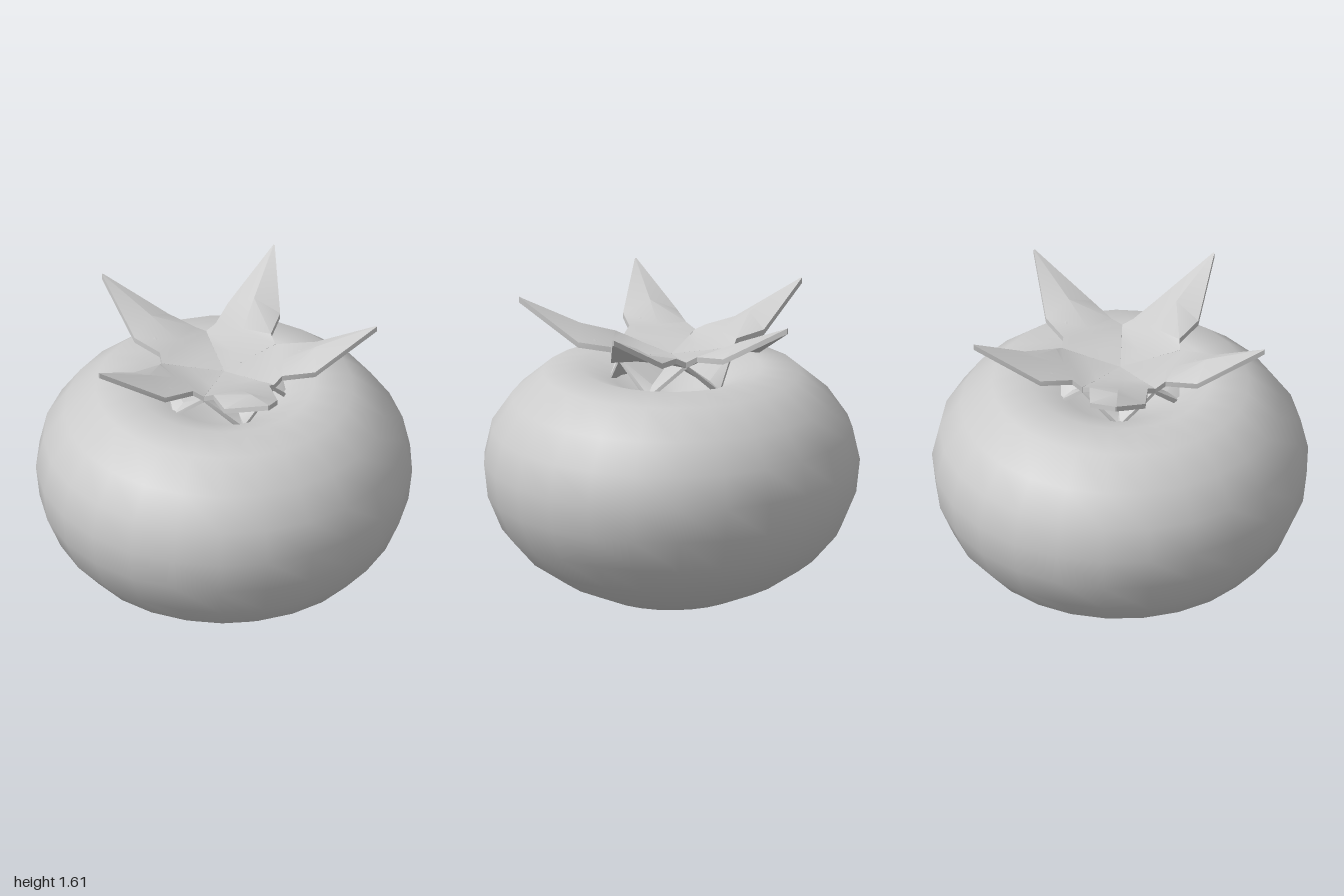
import * as THREE from 'three';
import { toCreasedNormals } from 'three/addons/utils/BufferGeometryUtils.js';

const material = new THREE.MeshStandardMaterial({ color: 0xcccccc });
const leafMaterial = new THREE.MeshStandardMaterial({ color: 0xcccccc, side: THREE.DoubleSide });

// Thin folded leaf along +x; each section is [distance, half width, middle height, edge height].
function leafGeometry(sections, thickness) {
  const positions = [];
  const index = [];
  const n = 6;
  for (const [s, w, mid, edge] of sections) {
    positions.push(
      s, edge, -w, s, mid, 0, s, edge, w,
      s, edge - thickness, w, s, mid - thickness, 0, s, edge - thickness, -w
    );
  }
  for (let i = 0; i < sections.length - 1; i++) {
    for (let j = 0; j < n; j++) {
      const a = i * n + j;
      const b = i * n + (j + 1) % n;
      index.push(a, b, a + n, b, b + n, a + n);
    }
  }
  // Cap at the tip
  const e = (sections.length - 1) * n;
  for (let j = 1; j < n - 1; j++) index.push(e, e + j, e + j + 1);
  const geometry = new THREE.BufferGeometry();
  geometry.setAttribute('position', new THREE.Float32BufferAttribute(positions, 3));
  geometry.setIndex(index);
  return toCreasedNormals(geometry, 0.6);
}

export function createModel() {
  const model = new THREE.Group();
  model.name = 'tomato';

  // Round fruit with a flat base and a dimple on top
  const profile = [
    [0, 0], [0.37, 0], [0.59, 0.095], [0.775, 0.22], [0.905, 0.37], [0.98, 0.55],
    [1, 0.73], [0.96, 0.91], [0.85, 1.07], [0.685, 1.21], [0.48, 1.24],
    [0.3, 1.17], [0.14, 1.1], [0, 1.08],
  ].map(([r, y]) => new THREE.Vector2(r, y));
  const fruit = new THREE.Mesh(new THREE.LatheGeometry(profile, 25, Math.PI), material);
  fruit.name = 'fruit';
  model.add(fruit);

  // Raised pointed leaf, and the short drooping fold beneath it
  const leaf = leafGeometry([
    [0, 0, 1.31, 1.31], [0.16, 0.116, 1.33, 1.335], [0.268, 0.194, 1.37, 1.355],
    [0.31, 0.155, 1.385, 1.385], [0.485, 0.147, 1.47, 1.405], [0.81, 0.004, 1.605, 1.605],
  ], 0.03);
  const fold = leafGeometry([
    [0, 0, 1.28, 1.28], [0.266, 0.19, 1.21, 1.34], [0.33, 0.01, 1.17, 1.17],
  ], 0.025);

  // Five of each around the stem
  const crown = new THREE.Group();
  crown.name = 'leafCrown';
  for (let i = 0; i < 5; i++) {
    const sepal = new THREE.Group();
    sepal.name = 'sepal';
    const upper = new THREE.Mesh(leaf, leafMaterial);
    upper.name = 'leaf';
    const lower = new THREE.Mesh(fold, leafMaterial);
    lower.name = 'leafFold';
    sepal.add(upper, lower);
    sepal.rotation.y = Math.PI + (i * Math.PI * 2) / 5;
    crown.add(sepal);
  }
  model.add(crown);
  return model;
}
